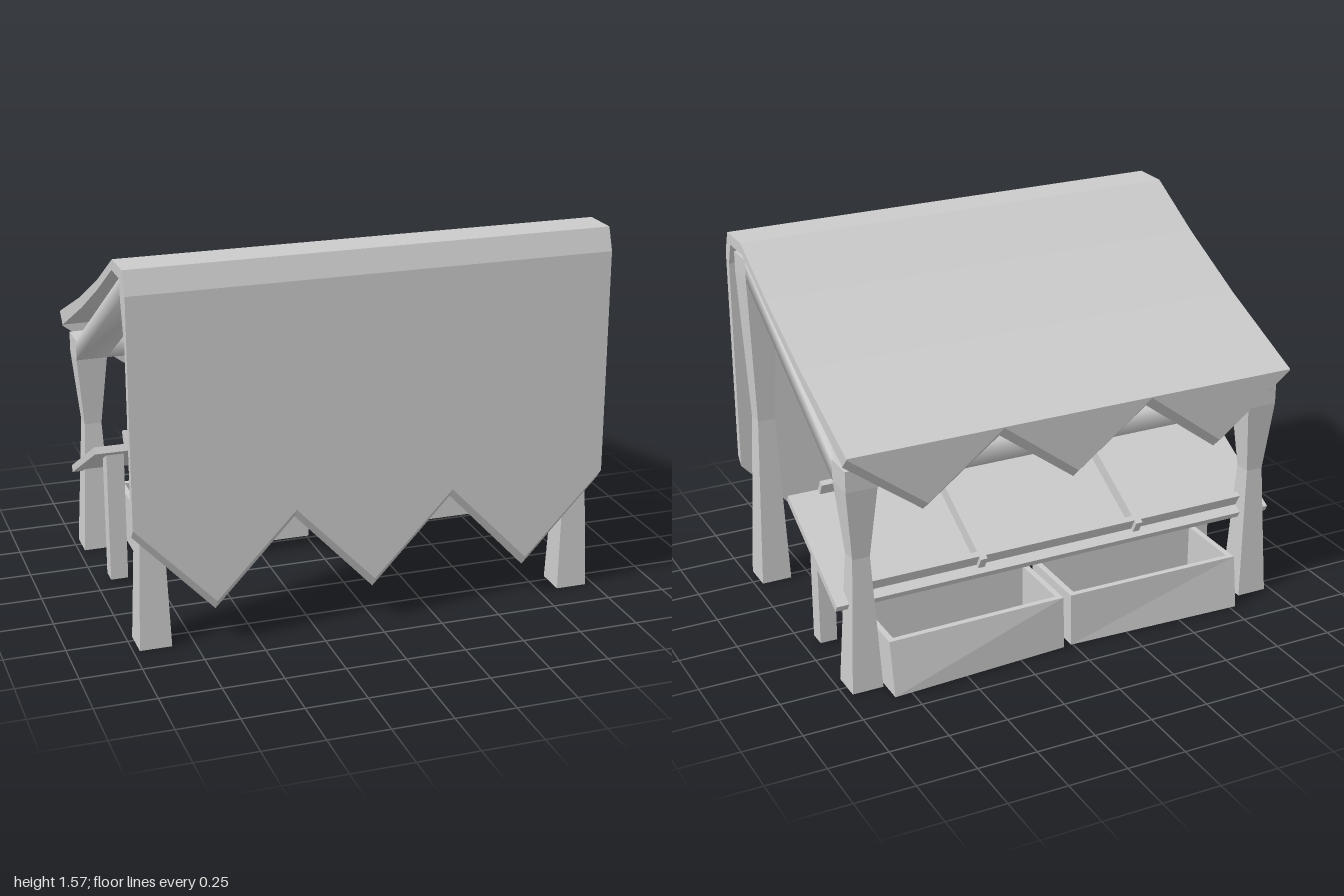
import * as THREE from 'three';
import { mergeVertices } from 'three/addons/utils/BufferGeometryUtils.js';

const material = new THREE.MeshStandardMaterial({ color: 0xcccccc });

// Skin a run of closed cross-sections and cap both ends.
function loft(name, rings, smooth = false) {
  const pos = [];
  const quad = (a, b, c, d) => [a, b, c, a, c, d].forEach((p) => pos.push(...p));
  const n = rings[0].length;
  for (let j = 0; j + 1 < rings.length; j++) {
    for (let i = 0; i < n; i++) {
      const k = (i + 1) % n;
      quad(rings[j][i], rings[j][k], rings[j + 1][k], rings[j + 1][i]);
    }
  }
  const first = rings[0], last = rings[rings.length - 1];
  for (let i = 0; i < n / 2 - 1; i++) {
    quad(last[i], last[i + 1], last[n - 2 - i], last[n - 1 - i]);
    quad(first[n - 1 - i], first[n - 2 - i], first[i + 1], first[i]);
  }
  let geometry = new THREE.BufferGeometry();
  geometry.setAttribute('position', new THREE.Float32BufferAttribute(pos, 3));
  if (smooth) geometry = mergeVertices(geometry);
  geometry.computeVertexNormals();
  const mesh = new THREE.Mesh(geometry, material);
  mesh.name = name;
  return mesh;
}

function box(name, w, h, d, x, y, z) {
  const mesh = new THREE.Mesh(new THREE.BoxGeometry(w, h, d), material);
  mesh.name = name;
  mesh.position.set(x, y, z);
  return mesh;
}

// Cloth roof: one section swept across x, with a zigzag hem at both ends.
function cloth() {
  const outer = [[1.054, -0.618], [1.246, -0.163], [1.417, 0.19], [1.573, 0.47], [1.573, 0.63], [1.48, 0.663]];
  const inner = [[1.006, -0.57], [1.205, -0.145], [1.375, 0.185], [1.527, 0.455], [1.527, 0.6], [1.435, 0.63]];
  const rings = [];
  for (let i = 0; i <= 6; i++) {
    const tip = i % 2;
    const section = [
      [tip ? 0.8 : 1.05, -0.618], ...outer, [tip ? 0.2 : 0.545, 0.663],
      [tip ? 0.155 : 0.505, 0.63], ...inner.slice().reverse(), [tip ? 0.755 : 1.0, -0.57],
    ];
    rings.push(section.map(([y, z]) => [-1 + i * 0.33, y, z]));
  }
  return loft('clothRoof', rings);
}

// Square post pinched at the waist, from [height, half width] steps.
function post(name, x, z, steps) {
  return loft(name, steps.map(([y, r]) => [
    [x - r, y, z + r], [x + r, y, z + r], [x + r, y, z - r], [x - r, y, z - r],
  ]));
}

// Open crate whose back face flares at the outer end.
function crate(name, x0, x1, back0, back1) {
  const ring = (y, t, flare) => [
    [x0 + t, y, -0.26 - t], [x1 - t, y, -0.26 - t],
    [x1 - t, y, -0.6 + t + (back1 + 0.6) * flare], [x0 + t, y, -0.6 + t + (back0 + 0.6) * flare],
  ];
  return loft(name, [ring(0.003, 0, 1), ring(0.23, 0, 0.25), ring(0.23, 0.025, 0.25), ring(0.03, 0.025, 0.9)]);
}

export function createModel() {
  const model = new THREE.Group();
  model.name = 'marketStall';
  model.add(cloth());

  // Posts, their caps and the sloping side beams
  const frontZ = 0.532, backZ = -0.495, r = 0.066;
  for (const [side, x] of [['left', 0.9], ['right', -0.908]]) {
    model.add(post(side + 'FrontPost', x, frontZ, [[0, r], [0.76, 0.038], [1.41, r]]));
    model.add(post(side + 'BackPost', x, backZ, [[0, r], [0.58, 0.037], [0.885, r]]));
    model.add(box(side + 'FrontCap', 2 * r, 0.09, 2 * r, x, 1.453, frontZ));
    model.add(box(side + 'BackCap', 2 * r, 0.09, 2 * r, x, 0.929, backZ));
    const ring = (y, z) => [
      [x - r, y - 0.044, z], [x - r, y + 0.044, z], [x + r, y + 0.044, z], [x + r, y - 0.044, z],
    ];
    model.add(loft(side + 'Beam', [ring(1.453, frontZ - r), ring(0.929, backZ + r)], true));
  }

  // Cross rails between the posts
  for (const [name, y, z] of [['frontRail', 1.453, frontZ], ['backRail', 0.929, backZ]]) {
    const ring = (x) => [
      [x, y - 0.044, z - r], [x, y + 0.044, z - r], [x, y + 0.044, z + r], [x, y - 0.044, z + r],
    ];
    model.add(loft(name, [ring(-0.842), ring(0.834)], true));
  }

  // Sloping display table with rims and dividers
  const table = new THREE.Group();
  table.name = 'displayTable';
  table.position.set(0, 0.617, 0.004);
  table.rotation.x = -0.49;
  table.add(box('tableBoard', 2, 0.03, 0.567, 0, 0.015, -0.2835));
  table.add(box('upperRim', 1.74, 0.058, 0.025, 0, 0.058, -0.0125));
  table.add(box('lowerRim', 1.74, 0.058, 0.025, 0, 0.058, -0.51));
  for (const x of [-0.36, 0.36]) {
    table.add(box('divider', 0.03, 0.058, 0.54, x, 0.058, -0.27));
  }
  model.add(table);

  // Table legs with tops cut to the slope
  for (const x of [-0.9, 0.9]) {
    const ring = (yFront, yBack) => [
      [x - 0.037, yFront, -0.07], [x + 0.037, yFront, -0.07], [x + 0.037, yBack, -0.145], [x - 0.037, yBack, -0.145],
    ];
    model.add(loft('tableLeg', [ring(0.01, 0.01), ring(0.585, 0.545)]));
  }

  model.add(crate('leftCrate', 0.045, 0.825, -0.615, -0.66));
  model.add(crate('rightCrate', -0.775, 0.01, -0.64, -0.61));
  return model;
}
